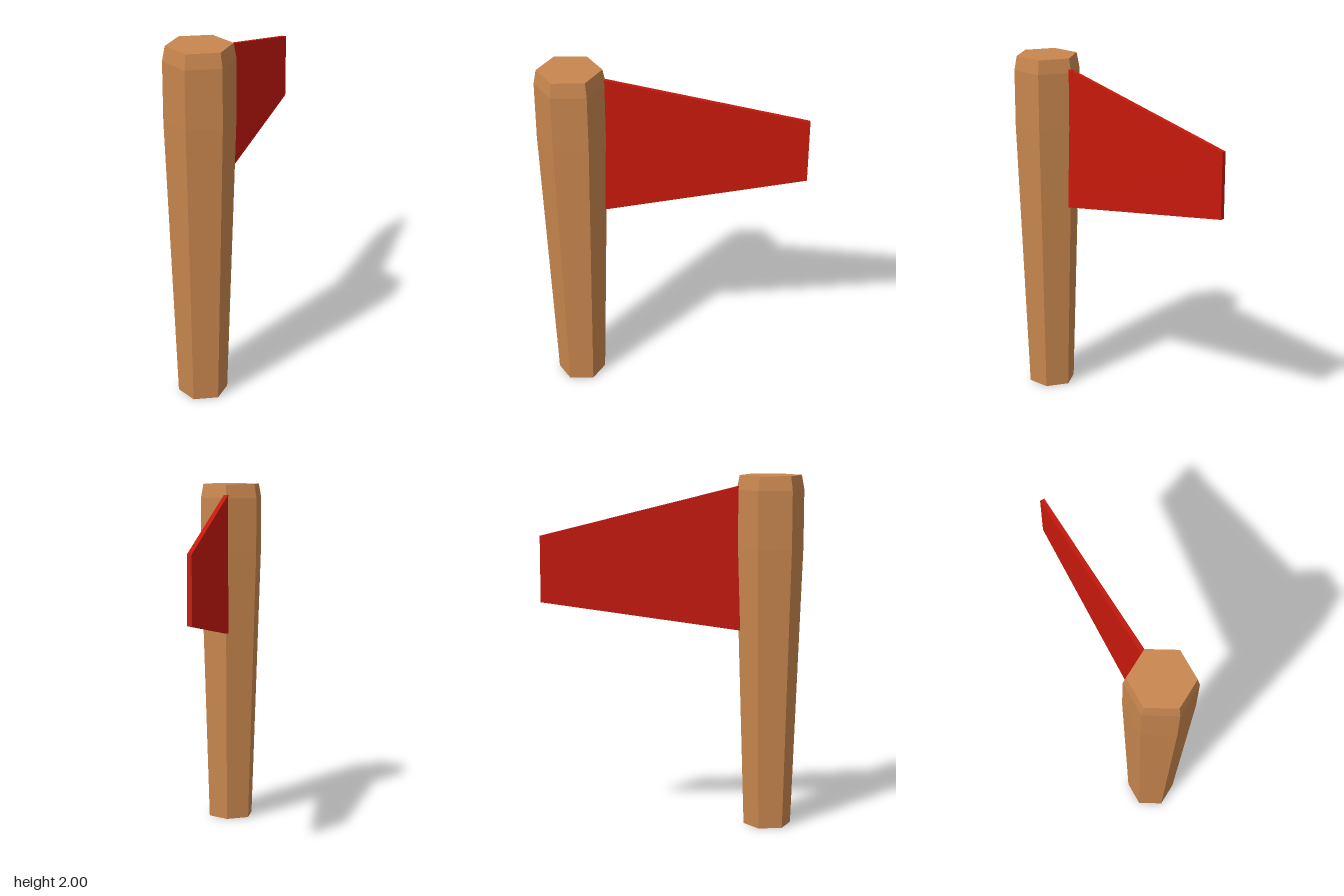
import * as THREE from 'three';

const POLE_Z = 0.547;

export function createModel() {
  const model = new THREE.Group();
  model.name = 'flagPost';

  // Hexagonal pole: tapered shaft, straight upper part, chamfered top
  const profile = [[0, 0], [0.136, 0], [0.19, 1.6], [0.19, 1.92], [0.175, 2], [0, 2]]
    .map(([r, y]) => new THREE.Vector2(r, y));
  const pole = new THREE.Mesh(
    new THREE.LatheGeometry(profile, 6),
    new THREE.MeshStandardMaterial({ color: 0xc8864e, flatShading: true })
  );
  pole.name = 'pole';
  pole.position.z = POLE_Z;
  model.add(pole);

  // Tapered flag plate, its inner end sunk into the pole
  const thickness = 0.025;
  const outline = new THREE.Shape([[0.4, 1.948], [0.4, 1.126], [-0.737, 1.305], [-0.737, 1.672]]
    .map(([z, y]) => new THREE.Vector2(z, y)));
  const flagGeometry = new THREE.ExtrudeGeometry(outline, { depth: thickness, bevelEnabled: false });
  flagGeometry.translate(0, 0, -thickness / 2);
  flagGeometry.rotateY(-Math.PI / 2);
  const flag = new THREE.Mesh(
    flagGeometry,
    new THREE.MeshStandardMaterial({ color: 0xc8190c, flatShading: true })
  );
  flag.name = 'flag';
  model.add(flag);

  return model;
}
